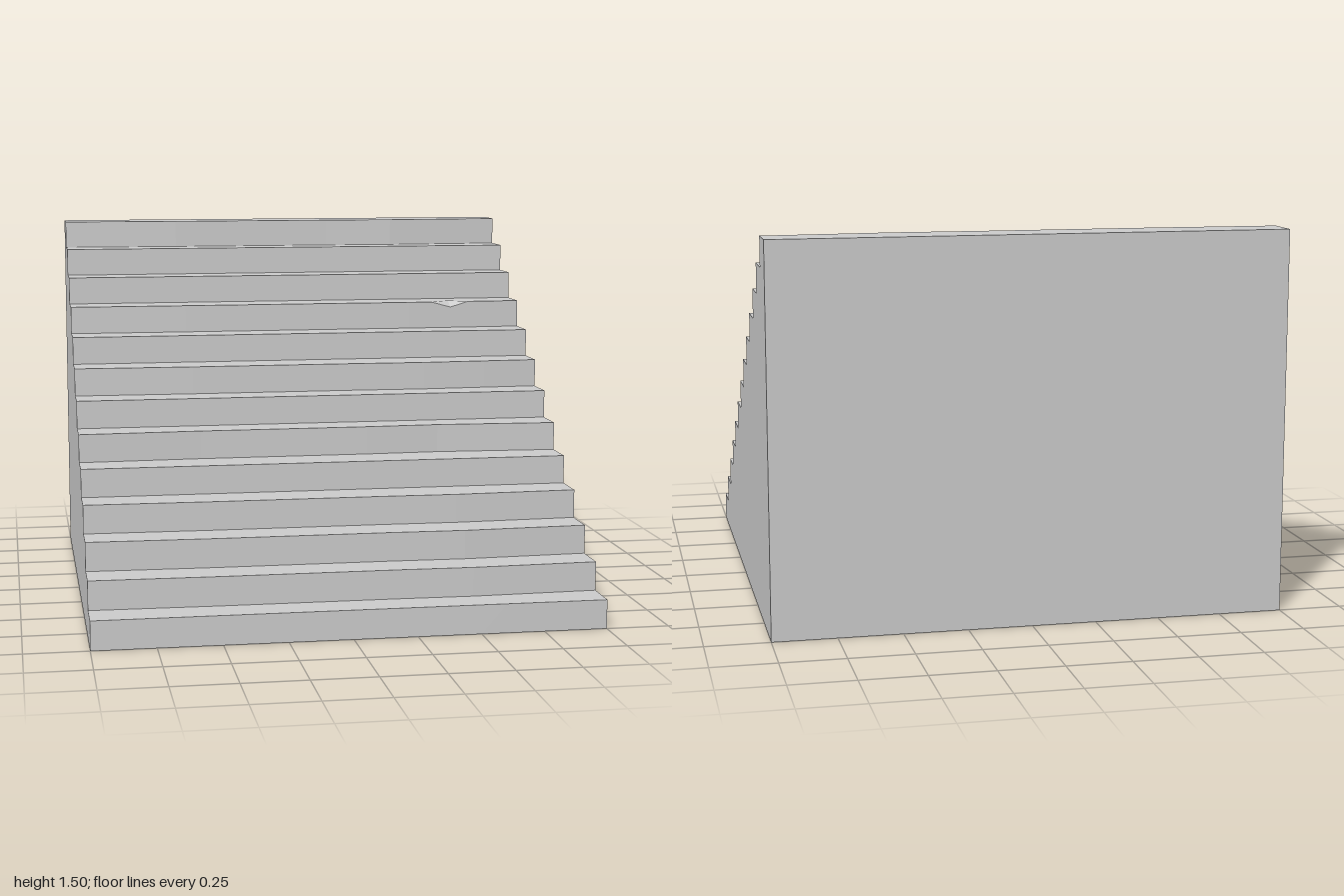
import * as THREE from 'three';

const STEPS = 13, RISE = 1.5 / STEPS, RUN = 2 / STEPS;

// stations across the width, and how far the wear reaches at each
const XS = [-1, -0.5, 0.2, 0.5, 0.6, 0.69, 0.77, 1];
const WEAR = [0, 0.6, 0.65, 1, 0.8, 0.62, 0.46, 0];
// depth of wear of each riser, from the bottom step up
const BOW = [0, 0.016, 0.02, 0.018, 0, -0.025, 0, 0.02, 0, 0.01, 0, 0, 0.028];
const CHIPPED_STEP = 9, CHIP_STATION = 5;

// stair outline at one station, as (z, y) points from the front foot to the back foot
function profile(station) {
  const points = [];
  for (let s = 0; s < STEPS; s++) {
    const z = 1 - s * RUN + BOW[s] * WEAR[station];
    const top = (s + 1) * RISE;
    const chipped = s === CHIPPED_STEP;
    const drop = chipped && station === CHIP_STATION ? 0.024 : 0;
    points.push(new THREE.Vector2(z, s * RISE), new THREE.Vector2(z, top - drop));
    if (chipped) points.push(new THREE.Vector2(-0.435, top));
  }
  points.push(new THREE.Vector2(-1, 1.5), new THREE.Vector2(-1, 0));
  return points;
}

function stairGeometry() {
  const rows = XS.map((x, i) => profile(i));
  const n = rows[0].length, positions = [], index = [];
  rows.forEach((row, i) => row.forEach(p => positions.push(XS[i], p.y, p.x)));

  // skin of risers, treads, back and underside
  for (let i = 0; i < XS.length - 1; i++) {
    for (let j = 0; j < n; j++) {
      const k = (j + 1) % n;
      const a = i * n + j, b = i * n + k, c = a + n, d = b + n;
      if (i < CHIP_STATION) index.push(a, c, d, a, d, b);
      else index.push(a, c, b, c, d, b);
    }
  }

  // stepped side walls
  const last = (XS.length - 1) * n;
  for (const [a, b, c] of THREE.ShapeUtils.triangulateShape(rows[0], [])) index.push(a, b, c);
  for (const [a, b, c] of THREE.ShapeUtils.triangulateShape(rows[XS.length - 1], [])) {
    index.push(last + a, last + c, last + b);
  }

  const indexed = new THREE.BufferGeometry();
  indexed.setAttribute('position', new THREE.Float32BufferAttribute(positions, 3));
  indexed.setIndex(index);
  const geometry = indexed.toNonIndexed();
  geometry.computeVertexNormals();
  return geometry;
}

export function createModel() {
  const group = new THREE.Group();
  group.name = 'staircase';
  const stone = new THREE.MeshStandardMaterial({ color: 0xcccccc, flatShading: true });
  const stairs = new THREE.Mesh(stairGeometry(), stone);
  stairs.name = 'wornSteps';
  group.add(stairs);
  return group;
}
